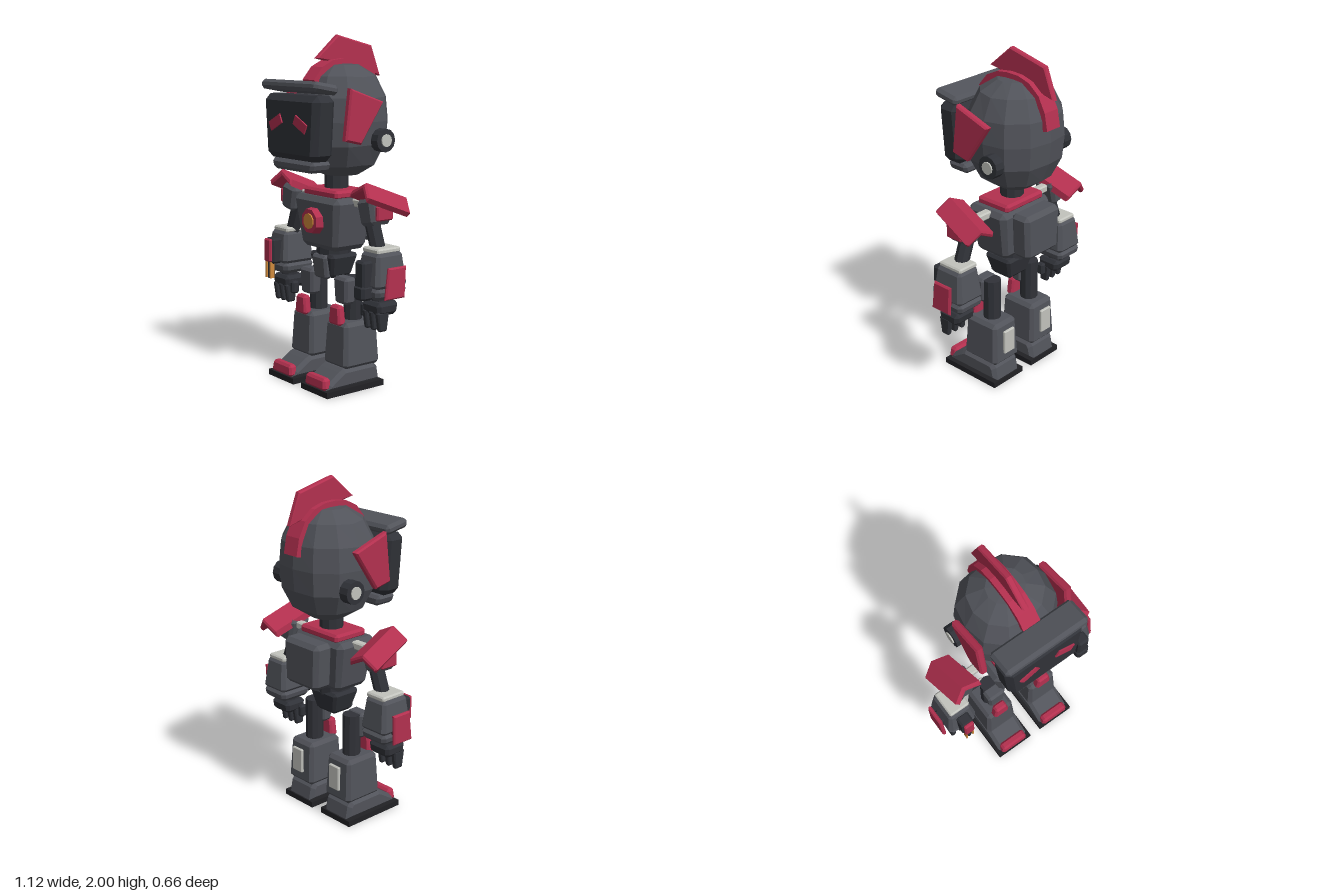
import * as THREE from 'three';
import { ConvexGeometry } from 'three/addons/geometries/ConvexGeometry.js';

const mat = (name, color) => {
  const m = new THREE.MeshStandardMaterial({ color });
  m.name = name;
  return m;
};

export function createModel() {
  const grey = mat('armour grey', 0x51535a);
  const dark = mat('dark joint grey', 0x303238);
  const red = mat('crimson trim', 0xb3304f);
  const pale = mat('pale metal', 0xc2c3bd);
  const orange = mat('amber', 0xd08a3c);
  const black = mat('sole black', 0x212125);

  const model = new THREE.Group();
  model.name = 'robot';

  const group = (name) => {
    const g = new THREE.Group();
    g.name = name;
    model.add(g);
    return g;
  };
  const add = (parent, name, geo, material, x = 0, y = 0, z = 0, rx = 0, ry = 0, rz = 0) => {
    const m = new THREE.Mesh(geo, material);
    m.name = name;
    m.position.set(x, y, z);
    m.rotation.set(rx, ry, rz);
    parent.add(m);
    return m;
  };
  const faceted = (geo) => {
    const g = geo.toNonIndexed();
    g.computeVertexNormals();
    return g;
  };

  // Chamfered box; the top and bottom can be scaled to taper it
  const block = (w, h, d, b = 0.015, top = [1, 1], bottom = [1, 1]) => {
    const pts = [];
    for (const i of [-1, 1]) for (const j of [-1, 1]) for (const k of [-1, 1]) {
      for (const [bx, by, bz] of [[0, b, b], [b, 0, b], [b, b, 0]]) {
        const y = j * (h / 2 - by), t = y / h + 0.5;
        const sx = bottom[0] + (top[0] - bottom[0]) * t;
        const sz = bottom[1] + (top[1] - bottom[1]) * t;
        pts.push(new THREE.Vector3(i * (w / 2 - bx) * sx, y, k * (d / 2 - bz) * sz));
      }
    }
    return new ConvexGeometry(pts);
  };
  const tube = (r1, r2, h, n = 10) => faceted(new THREE.CylinderGeometry(r1, r2, h, n));

  // Bevelled slab from an outline in x and y, centred along z
  const slab = (pts, t, b = 0.008) => {
    const shape = new THREE.Shape(pts.map(([x, y]) => new THREE.Vector2(x, y)));
    const geo = new THREE.ExtrudeGeometry(shape, {
      depth: t - 2 * b, bevelEnabled: b > 0, bevelThickness: b, bevelSize: b, bevelOffset: -b, bevelSegments: 1,
    });
    return geo.translate(0, 0, b - t / 2);
  };
  // The same, with the outline given in z and y
  const sideSlab = (pts, t, b) => slab(pts, t, b).rotateY(-Math.PI / 2);

  // ---- Head: faceted, slightly squared ball
  const head = group('head');
  const HY = 1.522, HZ = -0.05, P = 2.5;
  const squared = (v) => v.divideScalar(
    Math.pow(Math.abs(v.x) ** P + Math.abs(v.y) ** P + Math.abs(v.z) ** P, 1 / P));
  const ball = new THREE.SphereGeometry(1, 12, 8);
  const pos = ball.attributes.position;
  const v = new THREE.Vector3();
  for (let i = 0; i < pos.count; i++) {
    squared(v.fromBufferAttribute(pos, i));
    pos.setXYZ(i, v.x * 0.268, v.y * 0.324, v.z * 0.255);
  }
  add(head, 'skull', faceted(ball), grey, 0, HY, HZ);

  // Crest band following the skull from brow to nape, with a fin on top
  const arc = (a, s) => {
    squared(v.set(0, Math.cos(a), Math.sin(a)));
    return [HZ + v.z * 0.255 * s, HY + v.y * 0.324 * s];
  };
  const band = [];
  for (let i = 0; i <= 8; i++) band.push(arc(0.9 - i * 0.28, 1.075));
  for (let i = 8; i >= 0; i--) band.push(arc(0.9 - i * 0.28, 0.96));
  add(head, 'crest band', sideSlab(band, 0.106, 0), red);
  add(head, 'crest fin', sideSlab([[0.13, 1.87], [-0.02, 2], [-0.265, 1.94], [-0.33, 1.765],
    [-0.2, 1.8], [-0.1, 1.83], [0.02, 1.85]], 0.038), red);

  add(head, 'face screen', block(0.51, 0.36, 0.15, 0.035, [1, 1], [0.88, 1]), dark, 0, 1.495, 0.242);
  add(head, 'brow visor', block(0.52, 0.055, 0.165, 0.018), grey, 0, 1.716, 0.243, -0.18);
  add(head, 'chin guard', block(0.4, 0.062, 0.14, 0.018, [1, 1], [0.88, 0.95]), grey, 0, 1.282, 0.23);
  for (const s of [1, -1]) {
    add(head, 'eye', new THREE.BoxGeometry(0.115, 0.054, 0.009), red, s * 0.115, 1.518, 0.321, 0, 0, -s * 0.46);
    add(head, 'temple plate', sideSlab([[0.115, 1.715], [-0.118, 1.635], [0.04, 1.405], [0.15, 1.43]], 0.045, 0.01),
      red, s * 0.282);
    add(head, 'ear hub', tube(0.066, 0.066, 0.06, 12), dark, s * 0.281, 1.42, -0.127, 0, 0, Math.PI / 2);
    add(head, 'ear cap', tube(0.036, 0.036, 0.02, 12), pale, s * 0.309, 1.42, -0.127, 0, 0, Math.PI / 2);
  }

  // ---- Torso
  const torso = group('torso');
  add(torso, 'neck', tube(0.068, 0.068, 0.12, 10), dark, 0, 1.16, -0.02);
  add(torso, 'collar', block(0.31, 0.05, 0.23, 0.014), red, 0, 1.11, -0.01);
  add(torso, 'chest', block(0.42, 0.305, 0.29, 0.03, [1, 1], [0.74, 0.8]), grey, 0, 0.942, 0);
  add(torso, 'backpack', block(0.29, 0.27, 0.13, 0.025, [1, 1], [0.9, 1]), grey, 0, 0.96, -0.2);
  const ring = new THREE.CylinderGeometry(0.072, 0.082, 0.06, 8).rotateY(Math.PI / 8).rotateX(Math.PI / 2);
  add(torso, 'chest ring', faceted(ring), red, 0, 0.957, 0.148);
  add(torso, 'chest light', tube(0.045, 0.045, 0.009, 10), orange, 0, 0.957, 0.181, Math.PI / 2);
  add(torso, 'waist', tube(0.1, 0.1, 0.08, 10), dark, 0, 0.775, 0);
  add(torso, 'pelvis', block(0.235, 0.14, 0.2, 0.018, [1, 1], [0.62, 0.7]), dark, 0, 0.69, 0);
  add(torso, 'pelvis front', block(0.13, 0.14, 0.05, 0.014, [1, 1], [0.9, 1]), grey, 0, 0.685, 0.085, 0.12);

  for (const s of [1, -1]) {
    const side = s > 0 ? 'left' : 'right';

    // ---- Arm
    const arm = group(side + ' arm');
    add(arm, 'shoulder axle', block(0.12, 0.045, 0.05, 0.008), pale, s * 0.24, 1.07, -0.01);
    add(arm, 'shoulder block', block(0.135, 0.15, 0.15, 0.02, [1, 1], [0.85, 0.9]), grey,
      s * 0.365, 1.04, 0, 0, 0, s * 0.2);
    add(arm, 'shoulder side plate', block(0.025, 0.085, 0.115, 0.008), red, s * 0.445, 1.043, -0.003);
    const pauldron = [[-0.1, -0.01], [0.01, 0.042], [0.085, -0.04], [0.065, -0.065], [0, 0], [-0.105, -0.05]];
    add(arm, 'pauldron', slab(pauldron.map(([x, y]) => [s * x, y]), 0.3, 0.01), red,
      s * 0.4, 1.12, -0.035, -0.37, -s * 0.12);
    add(arm, 'upper arm', tube(0.043, 0.043, 0.17, 8), dark, s * 0.37, 0.91, 0, 0, 0, s * 0.35);
    add(arm, 'elbow cuff', block(0.135, 0.03, 0.165, 0.008), pale, s * 0.425, 0.84, -0.003);
    add(arm, 'forearm', block(0.2, 0.2, 0.23, 0.022, [0.74, 0.78]), grey, s * 0.43, 0.735, 0);
    add(arm, 'forearm end', block(0.2, 0.07, 0.23, 0.022, [1, 1], [0.86, 0.88]), grey, s * 0.43, 0.61, 0);
    add(arm, 'forearm side plate', sideSlab([[0.058, 0.76], [-0.068, 0.76], [-0.06, 0.585], [0.08, 0.585]], 0.024),
      red, s * 0.549);
    add(arm, 'side plate mount', block(0.05, 0.09, 0.08, 0.01), dark, s * 0.52, 0.67, 0);

    // Forearm tool: plain pod on one side, red housing with prongs on the other
    add(arm, 'tool base', block(0.08, 0.155, 0.075, 0.012), dark, s * 0.428, 0.715, 0.125);
    if (s > 0) {
      add(arm, 'tool pod', block(0.09, 0.085, 0.08, 0.015), dark, 0.428, 0.617, 0.13);
    } else {
      add(arm, 'tool cover', block(0.065, 0.14, 0.025, 0.008), red, -0.428, 0.72, 0.166);
      add(arm, 'tool barrel', tube(0.022, 0.022, 0.1, 8), dark, -0.428, 0.598, 0.145);
      for (const dx of [-0.022, 0.022]) {
        add(arm, 'tool prong', new THREE.BoxGeometry(0.009, 0.1, 0.03), orange, -0.428 + dx, 0.6, 0.155);
      }
    }

    // Hand
    add(arm, 'wrist', tube(0.05, 0.05, 0.05, 8), dark, s * 0.428, 0.565, 0.01);
    add(arm, 'palm', block(0.165, 0.075, 0.155, 0.02, [0.95, 1], [0.9, 0.85]), dark, s * 0.43, 0.52, 0.01);
    for (const x of [0.375, 0.43, 0.485]) {
      add(arm, 'finger', block(0.036, 0.11, 0.085, 0.009, [1, 1], [0.85, 0.6]), dark, s * x, 0.45, 0.042);
    }
    add(arm, 'thumb', block(0.038, 0.075, 0.05, 0.01), dark, s * 0.335, 0.492, 0.04);

    // ---- Leg
    const leg = group(side + ' leg');
    const X = s * 0.162;
    add(leg, 'thigh post', tube(0.053, 0.053, 0.27, 10), dark, X, 0.505, -0.012);
    add(leg, 'thigh guard', block(0.125, 0.155, 0.085, 0.016, [1, 1], [0.85, 0.85]), grey, X, 0.568, 0.045);
    add(leg, 'knee guard', block(0.11, 0.112, 0.055, 0.013, [0.7, 0.9]), red, X, 0.432, 0.102);
    add(leg, 'shin', block(0.214, 0.265, 0.262, 0.022, [0.87, 0.88]), grey, X, 0.262, -0.004);
    add(leg, 'calf panel', block(0.085, 0.15, 0.02, 0.005), pale, X, 0.278, -0.144);
    add(leg, 'foot', sideSlab([[0.255, 0.03], [0.235, 0.07], [0.155, 0.122], [0.125, 0.138],
      [-0.095, 0.138], [-0.12, 0.11], [-0.135, 0.03]], 0.212, 0.022), grey, X);
    add(leg, 'toe cap', block(0.195, 0.068, 0.062, 0.014, [0.88, 0.8]), red, X, 0.068, 0.238);
    add(leg, 'sole', new THREE.BoxGeometry(0.246, 0.034, 0.41), black, X, 0.017, 0.062);
  }
  return model;
}
